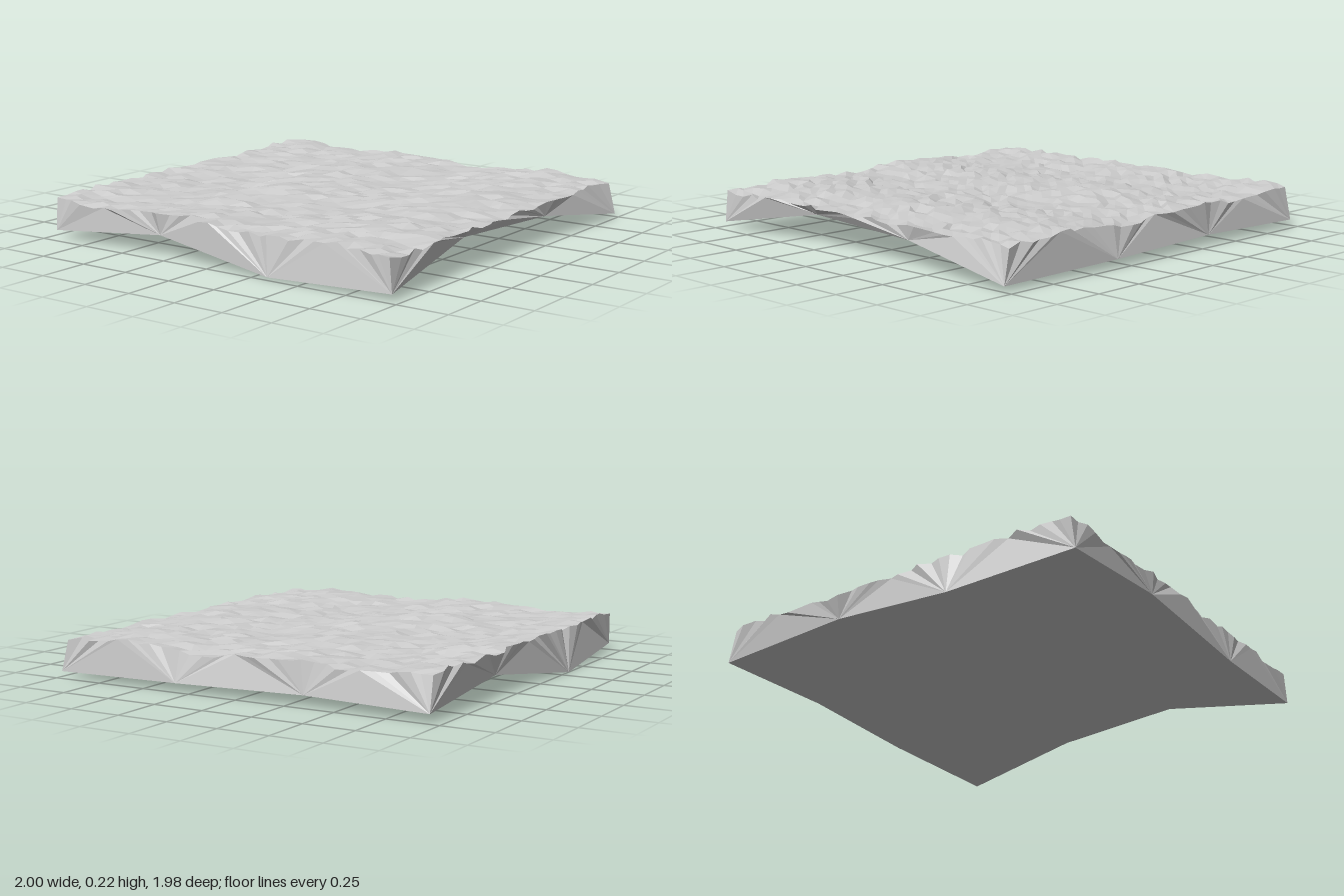
import * as THREE from 'three';

// Small seeded random source, -1 to 1
function seeded(seed) {
  return () => {
    seed = (seed * 1664525 + 1013904223) % 4294967296;
    return (seed / 4294967296) * 2 - 1;
  };
}

// Underside corner points [x, y, z], rows from back to front
const UNDERSIDE = [
  [[-0.95, 0.04, -0.99], [-0.33, 0.05, -0.97], [0.33, 0.04, -0.99], [1, 0.025, -0.96]],
  [[-0.93, 0.09, -0.33], [-0.31, 0.16, -0.33], [0.33, 0.11, -0.33], [0.95, 0.12, -0.33]],
  [[-1, 0, 0.33], [-0.35, 0.04, 0.33], [0.3, 0.04, 0.33], [0.91, 0.14, 0.33]],
  [[-0.95, 0.04, 0.96], [-0.31, 0.1, 0.95], [0.33, 0.01, 0.99], [0.96, 0.03, 0.97]],
];
const PER_SPAN = 11; // surface cells along each underside span
const N = PER_SPAN * 3;

// Rough upper grid: gentle ridges along z plus jitter in every direction
function surfaceGrid() {
  const rand = seeded(17);
  const rows = [];
  for (let j = 0; j <= N; j++) {
    const row = [];
    for (let i = 0; i <= N; i++) {
      const x = -0.955 + (1.91 * i) / N;
      const z = -0.955 + (1.91 * j) / N;
      const ridge = 0.011 * Math.cos(((x + 0.2) * Math.PI * 2) / 0.8);
      const y = 0.191 + ridge + 0.004 * Math.sin(z * 9 + x * 4) + rand() * 0.011;
      row.push([x + rand() * 0.013, y, z + rand() * 0.013]);
    }
    rows.push(row);
  }
  return rows;
}

// Triangles of a grid, facing up or down
function gridTriangles(g, up) {
  const tris = [];
  for (let j = 0; j < g.length - 1; j++) {
    for (let i = 0; i < g.length - 1; i++) {
      const a = g[j][i], b = g[j][i + 1], c = g[j + 1][i], d = g[j + 1][i + 1];
      if (up) tris.push([a, c, b], [b, c, d]);
      else tris.push([a, b, c], [b, d, c]);
    }
  }
  return tris;
}

// Border points: front, right, back, left
function border(g) {
  const n = g.length - 1;
  const pts = [];
  for (let i = 0; i < n; i++) pts.push(g[n][i]);
  for (let i = 0; i < n; i++) pts.push(g[n - i][n]);
  for (let i = 0; i < n; i++) pts.push(g[0][n - i]);
  for (let i = 0; i < n; i++) pts.push(g[i][0]);
  return pts;
}

// Side walls: each coarse lower span fans up to the fine upper border
function wallTriangles(upper, lower) {
  const top = border(upper), low = border(lower), tris = [];
  const half = Math.floor(PER_SPAN / 2);
  low.forEach((b0, s) => {
    const b1 = low[(s + 1) % low.length];
    for (let k = 0; k < PER_SPAN; k++) {
      const t0 = top[s * PER_SPAN + k];
      const t1 = top[(s * PER_SPAN + k + 1) % top.length];
      if (k === half) tris.push([b0, b1, t0]);
      tris.push([k < half ? b0 : b1, t1, t0]);
    }
  });
  return tris;
}

function facetedMesh(name, tris, material) {
  const geo = new THREE.BufferGeometry();
  geo.setAttribute('position', new THREE.Float32BufferAttribute(tris.flat(2), 3));
  geo.computeVertexNormals();
  const mesh = new THREE.Mesh(geo, material);
  mesh.name = name;
  return mesh;
}

export function createModel() {
  const group = new THREE.Group();
  group.name = 'groundSlab';
  const material = new THREE.MeshStandardMaterial({ color: 0xcccccc, flatShading: true });
  const surface = surfaceGrid();
  group.add(
    facetedMesh('roughSurface', gridTriangles(surface, true), material),
    facetedMesh('sideWalls', wallTriangles(surface, UNDERSIDE), material),
    facetedMesh('underside', gridTriangles(UNDERSIDE, false), material),
  );
  return group;
}
